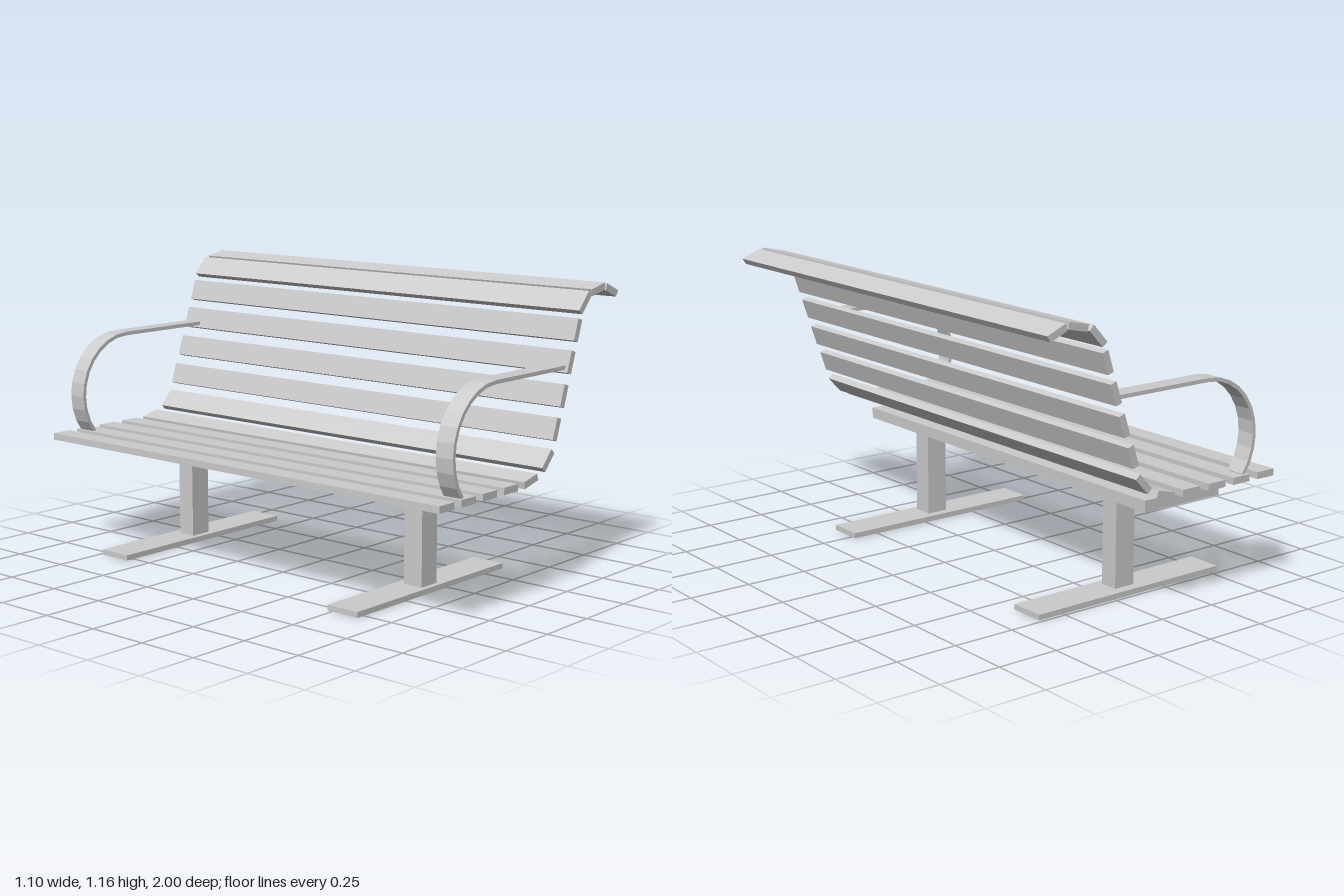
import * as THREE from 'three';

const material = new THREE.MeshStandardMaterial({ color: 0xcccccc, flatShading: true });

function addMesh(parent, name, geometry) {
  const mesh = new THREE.Mesh(geometry, material);
  mesh.name = name;
  parent.add(mesh);
  return mesh;
}

// Box given by its [min, max] range on each axis
function addBox(parent, name, [x0, x1], [y0, y1], [z0, z1]) {
  const mesh = addMesh(parent, name, new THREE.BoxGeometry(x1 - x0, y1 - y0, z1 - z0));
  mesh.position.set((x0 + x1) / 2, (y0 + y1) / 2, (z0 + z1) / 2);
}

// Side profile in the xy plane, extruded along z and centred on z = 0
function extrudeProfile(points, depth) {
  const shape = new THREE.Shape(points.map(([x, y]) => new THREE.Vector2(x, y)));
  return new THREE.ExtrudeGeometry(shape, { depth, bevelEnabled: false }).translate(0, 0, -depth / 2);
}

// Full-length slat: centre, tilt in degrees, widths of its upper and lower faces
function addSlat(parent, name, [x, y, tilt, top = 0.085, bottom = 0.085]) {
  const h = 0.0135;
  const profile = [[-bottom / 2, -h], [bottom / 2, -h], [top / 2, h], [-top / 2, h]];
  const slat = addMesh(parent, name, extrudeProfile(profile, 2));
  slat.position.set(x, y, 0);
  slat.rotation.z = THREE.MathUtils.degToRad(tilt);
}

// Flat bar: straight back to the slats, then curling forward and down to the seat
function armrestGeometry() {
  const cx = -0.217, cy = 0.622, radius = 0.24, half = 0.0075, steps = 10;
  const edge = (r) => {
    const points = [[0.222, cy + r]];
    for (let i = 0; i <= steps; i++) {
      const a = Math.PI / 2 + (i * Math.PI) / 14;
      points.push([cx + r * Math.cos(a), cy + r * Math.sin(a)]);
    }
    return points;
  };
  return extrudeProfile([...edge(radius + half), ...edge(radius - half).reverse()], 0.075);
}

export function createModel() {
  const bench = new THREE.Group();
  bench.name = 'bench';

  // Seat slats
  const seat = new THREE.Group();
  seat.name = 'seat';
  bench.add(seat);
  for (const x of [-0.511, -0.385, -0.259, -0.131]) addSlat(seat, 'seatSlat', [x, 0.4615, 0]);
  addSlat(seat, 'rearSeatSlat', [-0.005, 0.471, 13.5, 0.082, 0.088]);

  // Curved backrest, rolling over backwards at the top
  const backrest = new THREE.Group();
  backrest.name = 'backrest';
  bench.add(backrest);
  const backSlats = [
    [0.103, 0.531, 47.5],
    [0.155, 0.64, 71.5],
    [0.199, 0.759, 71.5],
    [0.24, 0.88, 71.5],
    [0.28, 0.996, 71.5],
    [0.3255, 1.094, 47.5, 0.092, 0.086],
    [0.414, 1.137, 12, 0.09, 0.082],
    [0.505, 1.126, -23, 0.087, 0.077],
  ];
  for (const slat of backSlats) addSlat(backrest, 'backSlat', slat);

  // Armrests
  const arm = armrestGeometry();
  for (const z of [-0.95, 0.95]) addMesh(bench, 'armrest', arm).position.z = z;

  // Plate under the seat
  addBox(bench, 'seatPlate', [-0.32, 0.047], [0.402, 0.447], [-0.947, 0.801]);

  // Posts with long flat feet
  for (const [postZ, postWidth, footZ] of [[0.556, 0.085, 0.549], [-0.657, 0.076, -0.664]]) {
    const leg = new THREE.Group();
    leg.name = 'leg';
    bench.add(leg);
    addBox(leg, 'post', [-0.132, -0.04], [0.022, 0.398], [postZ - postWidth / 2, postZ + postWidth / 2]);
    addBox(leg, 'foot', [-0.535, 0.362], [0, 0.022], [footZ - 0.072, footZ + 0.072]);
  }
  return bench;
}
